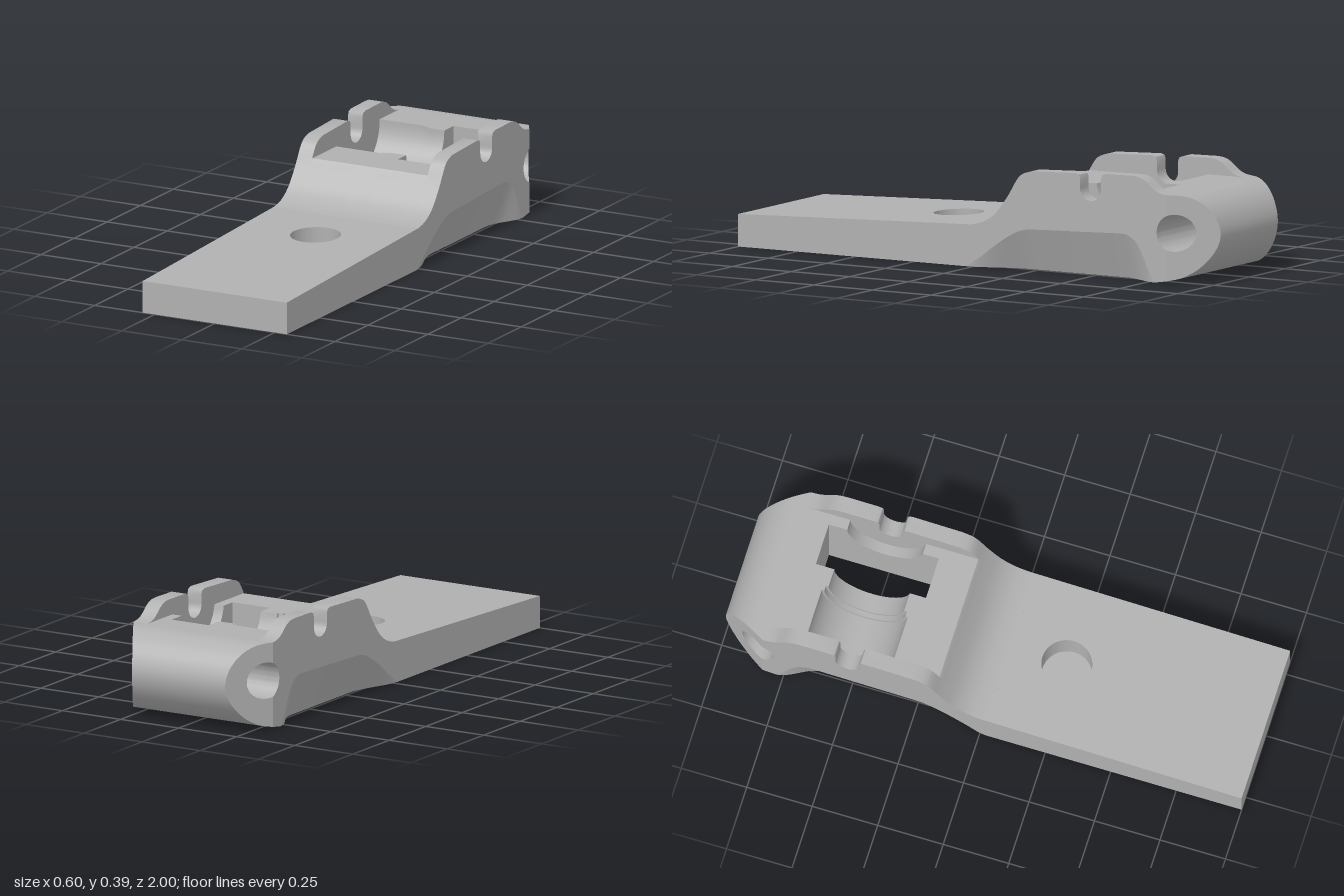
import * as THREE from 'three';
import { toCreasedNormals } from 'three/addons/utils/BufferGeometryUtils.js';

// Profiles use u = -z (towards the rear) and y up.
const HALF = 0.3, WALL = 0.24, PIN = { u: 0.855, y: 0.185, r: 0.068 };
const PIN_ANGLE = Math.acos((0.83 - PIN.u) / PIN.r);

const arc = (cu, cy, r, a0, a1, n = 24) => Array.from({ length: n + 1 }, (_, i) => {
  const a = a0 + (a1 - a0) * i / n;
  return [cu + r * Math.cos(a), cy + r * Math.sin(a)];
});
const spline = (pts, n = 32) =>
  new THREE.SplineCurve(pts.map(p => new THREE.Vector2(...p))).getPoints(n).map(p => [p.x, p.y]);
const toShape = pts => new THREE.Shape(pts.map(p => new THREE.Vector2(...p)));
const extrude = (shape, depth) =>
  new THREE.ExtrudeGeometry(shape, { depth, bevelEnabled: false, curveSegments: 48 });

export function createModel() {
  const group = new THREE.Group();
  const metal = new THREE.MeshStandardMaterial({ color: 0xb0b0b0, side: THREE.DoubleSide });
  metal.name = 'grey metal';

  const add = (name, geometry) => {
    const mesh = new THREE.Mesh(toCreasedNormals(geometry, 0.55), metal);
    mesh.name = name;
    group.add(mesh);
  };
  // Side profile extruded across the width from x0 to x1
  const slab = (name, pts, x0, x1) =>
    add(name, extrude(toShape(pts), x1 - x0).rotateY(Math.PI / 2).translate(x0, 0, 0));
  // Plan outline (x, u) with round holes [x, u, r], extruded upwards from y0 to y1
  const plan = (pts, holes, y0, y1) => {
    const shape = toShape(pts);
    for (const [x, u, r] of holes) shape.holes.push(new THREE.Path().absarc(x, u, r, 0, Math.PI * 2, true));
    return extrude(shape, y1 - y0).rotateX(-Math.PI / 2).translate(0, y0, 0);
  };

  // Flat tongue: two base layers with a stepped recess below, and a sloping top with a blind hole
  const baseOutline = [[-HALF, -1], [HALF, -1], [HALF, -0.03], [WALL, -0.03],
    [WALL, 0.25], [-WALL, 0.25], [-WALL, -0.03], [-HALF, -0.03]];
  const topHole = [0, -0.24, 0.093];
  add('baseLower', plan(baseOutline, [[0, 0.09, 0.13]], 0, 0.03));
  add('baseUpper', plan(baseOutline, [[0, 0.09, 0.066], topHole], 0.03, 0.06));
  const tongue = plan([[-HALF, -1], [HALF, -1], [HALF, -0.03], [-HALF, -0.03]], [topHole], 0.06, 0.12);
  const tp = tongue.attributes.position;
  for (let i = 0; i < tp.count; i++)
    if (tp.getY(i) > 0.1) tp.setY(i, 0.12 + 0.036 * (1 - tp.getZ(i)));
  add('tongueTop', tongue);

  // Shared pieces of the side profile
  const ramp = spline([[-0.03, 0.155], [0, 0.157], [0.05, 0.171], [0.1, 0.206], [0.15, 0.27],
    [0.19, 0.335], [0.215, 0.358], [0.25, 0.37]]);
  const lowRamp = [...ramp.filter(p => p[1] < 0.3), [0.172, 0.303]];
  const rearEnd = [[0.83, 0.325],
    ...arc(PIN.u, PIN.y, PIN.r, PIN_ANGLE, 2 * Math.PI - PIN_ANGLE), [0.83, 0.008], [0.78, 0]];
  const bottom = [[0.25, 0], [0.25, 0.06], [-0.03, 0.06]];

  // Body between the walls, with a round cradle of stepped radius
  for (const [x0, x1, r] of [[-WALL, -0.05, 0.165], [-0.05, -0.03, 0.155], [-0.03, 0.04, 0.145], [0.2, WALL, 0.145]])
    slab('cradle', [...lowRamp,
      ...arc(0.515, 0.325, r, Math.PI + Math.asin(0.022 / r), 2 * Math.PI, 32),
      ...rearEnd, ...bottom], x0, x1);

  // Rectangular opening through the body
  slab('openingFront', [...lowRamp, [0.31, 0.303], [0.31, 0], ...bottom], 0.04, 0.2);
  slab('openingRear', [[0.73, 0.325], ...rearEnd, [0.73, 0]], 0.04, 0.2);

  // Side walls with round-bottomed notches
  const undercut = spline([[-0.03, 0], [0.03, 0.036], [0.1, 0.088], [0.16, 0.127], [0.22, 0.152], [0.3, 0.158],
    [0.45, 0.163], [0.63, 0.169], [0.67, 0.162], [0.7, 0.14], [0.73, 0.09], [0.755, 0.035], [0.78, 0]], 60);
  const wall = [...ramp, [0.44, 0.378], [0.455, 0.373], [0.46, 0.36],
    ...arc(0.505, 0.325, 0.045, Math.PI, 2 * Math.PI, 16),
    [0.55, 0.365], [0.555, 0.378], [0.57, 0.384],
    ...spline([[0.68, 0.386], [0.71, 0.383], [0.74, 0.37], [0.775, 0.342], [0.8, 0.33], [0.83, 0.325]], 16).slice(0, -1),
    ...rearEnd, ...undercut.slice(0, -1).reverse()];
  slab('leftWall', wall, WALL, HALF);
  slab('rightWall', wall, -HALF, -WALL);

  // Inward-sloping lower flanks, flaring out again at both ends
  const flank = side => {
    const pos = [], index = [];
    undercut.forEach(([u, y], i) => {
      const flare = Math.max(1 - THREE.MathUtils.smoothstep(u, -0.03, 0.2), THREE.MathUtils.smoothstep(u, 0.62, 0.78));
      const b = WALL + (HALF - WALL) * flare;
      pos.push(side * HALF, y, -u, side * b, 0, -u, side * b, 0, -u, side * WALL, 0, -u);
      if (i === 0) return;
      for (const k of [0, 2]) {
        const a = (i - 1) * 4 + k, c = i * 4 + k;
        index.push(...(side > 0 ? [a, a + 1, c, a + 1, c + 1, c] : [a, c, a + 1, a + 1, c, c + 1]));
      }
    });
    const g = new THREE.BufferGeometry();
    g.setAttribute('position', new THREE.Float32BufferAttribute(pos, 3));
    g.setIndex(index);
    g.computeVertexNormals();
    return g;
  };
  add('leftFlank', flank(1));
  add('rightFlank', flank(-1));

  // Rear half of the hinge barrel, narrowing towards the back
  const barrelOutline = [
    ...spline([[0.83, 0.325], [0.865, 0.324], [0.905, 0.315], [0.95, 0.287], [0.985, 0.24], [1, 0.18],
      [0.982, 0.117], [0.935, 0.057], [0.88, 0.021], [0.83, 0.008]], 40),
    ...arc(PIN.u, PIN.y, PIN.r, -PIN_ANGLE, PIN_ANGLE, 36)];
  const barrel = extrude(toShape(barrelOutline), 2 * HALF).rotateY(Math.PI / 2).translate(-HALF, 0, 0);
  const bp = barrel.attributes.position;
  for (let i = 0; i < bp.count; i++) {
    const u = -bp.getZ(i);
    bp.setX(i, Math.sign(bp.getX(i)) * (HALF - 0.1 * (u - 0.83) / 0.17));
  }
  add('hingeBarrel', barrel);

  return group;
}
